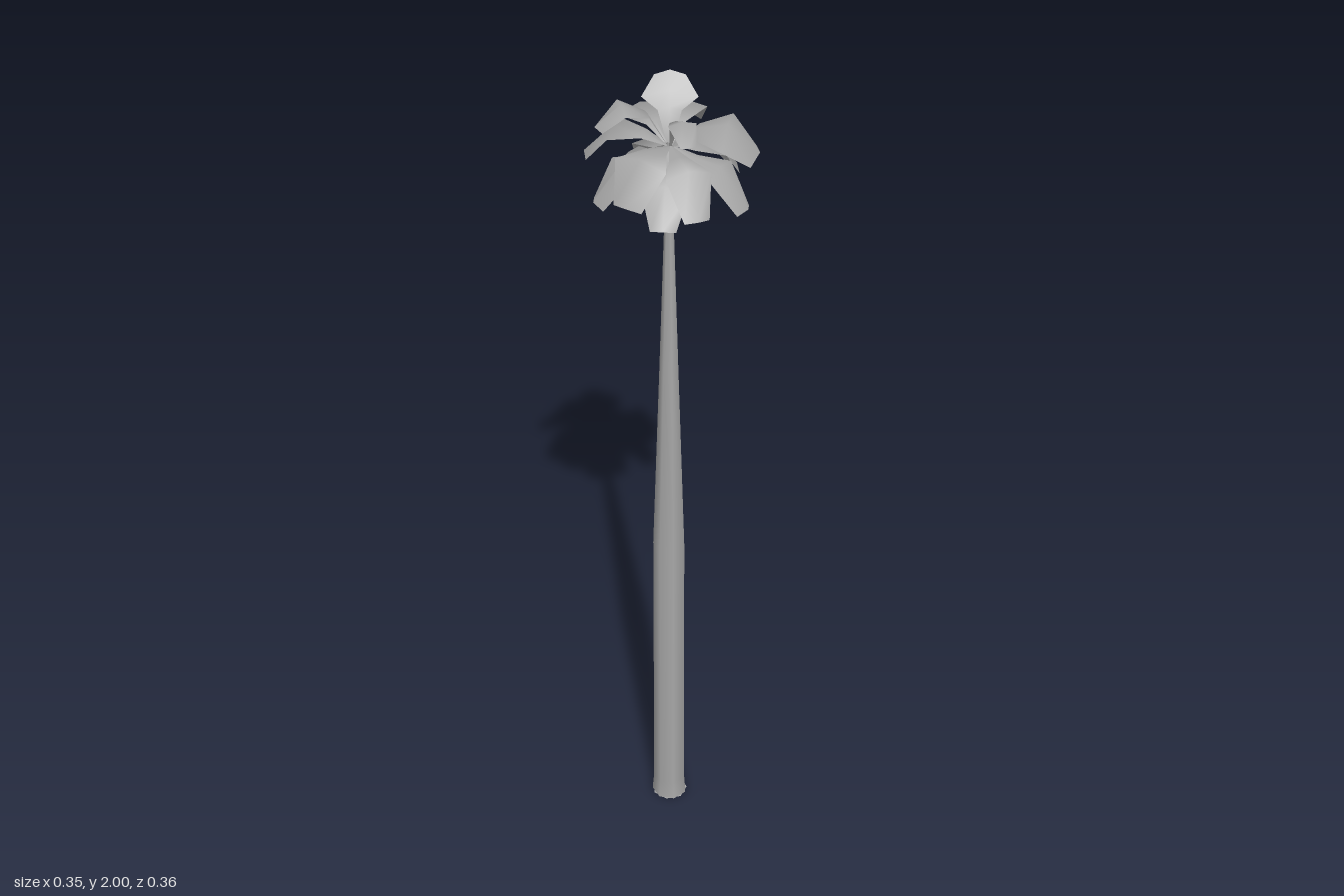
import * as THREE from 'three';

const leafGrey = new THREE.MeshStandardMaterial({ color: 0xa6a6a6, side: THREE.DoubleSide });
leafGrey.name = 'grey';

// [heading in degrees from +z towards +x, reach, height at the bend, height at the tip, half width]
const FRONDS = {
  upperFrond: [
    [-90, 0.16, 1.975, 1.93, 0.04],
    [0, 0.16, 1.975, 1.945, 0.03],
    [165, 0.08, 1.965, 1.998, 0.06],
    [66, 0.19, 1.925, 1.865, 0.085],
  ],
  middleFrond: [
    [197, 0.188, 1.91, 1.84, 0.055],
    [153, 0.19, 1.91, 1.84, 0.055],
    [238, 0.19, 1.895, 1.82, 0.05],
    [-47, 0.175, 1.885, 1.80, 0.062],
    [5, 0.18, 1.865, 1.78, 0.05],
  ],
  lowerFrond: [
    [-85, 0.17, 1.84, 1.76, 0.055],
    [48, 0.185, 1.845, 1.76, 0.05],
    [105, 0.165, 1.85, 1.775, 0.055],
    [130, 0.185, 1.845, 1.765, 0.05],
    [180, 0.17, 1.83, 1.75, 0.055],
    [-20, 0.16, 1.825, 1.75, 0.05],
    [-130, 0.15, 1.825, 1.75, 0.05],
  ],
};
const BASE_Y = 1.865;

// A broad leaf: narrow at the crown, folded along its rib, bent over at the end
function frondGeometry([deg, reach, bendY, tipY, halfWidth]) {
  const a = THREE.MathUtils.degToRad(deg);
  const sin = Math.sin(a), cos = Math.cos(a);
  // [fraction of reach, height, fraction of width, pull-back of the edges]
  const rows = [
    [0.03, BASE_Y, 0.08, 0],
    [0.3, BASE_Y + (bendY - BASE_Y) * 0.75, 0.42, 0],
    [0.64, bendY, 1, 0],
    [1, tipY, 0.55, 0.07],
  ];
  const pos = [], index = [];
  rows.forEach(([t, y, w, back], r) => {
    for (let c = -1; c <= 1; c++) {
      const out = reach * (t - Math.abs(c) * back);
      const side = c * w * halfWidth;
      pos.push(sin * out + cos * side, y - Math.abs(side) * 0.25, cos * out - sin * side + 0.005);
    }
    if (r === 0) return;
    for (let c = 0; c < 2; c++) {
      const i = (r - 1) * 3 + c;
      index.push(i, i + 3, i + 1, i + 1, i + 3, i + 4);
    }
  });
  const g = new THREE.BufferGeometry();
  g.setAttribute('position', new THREE.Float32BufferAttribute(pos, 3));
  g.setIndex(index);
  g.computeVertexNormals();
  return g;
}

export function createModel() {
  const model = new THREE.Group();
  model.name = 'palmTree';

  // Tall tapering trunk with a slightly flared foot
  const profile = [[0.043, 0], [0.039, 0.05], [0.038, 0.8], [0.022, 1.3], [0.008, 1.76], [0.005, 1.87]];
  const trunk = new THREE.Mesh(
    new THREE.LatheGeometry(profile.map(([r, y]) => new THREE.Vector2(r, y)), 7), leafGrey);
  trunk.name = 'trunk';
  model.add(trunk);

  // Underside of the trunk
  const foot = new THREE.Mesh(new THREE.CircleGeometry(0.043, 7, Math.PI / 2), leafGrey);
  foot.name = 'trunkBase';
  foot.rotation.x = Math.PI / 2;
  foot.rotation.z = Math.PI;
  model.add(foot);

  // Crown of fronds in three tiers
  const crown = new THREE.Group();
  crown.name = 'crown';
  for (const [name, list] of Object.entries(FRONDS)) {
    for (const spec of list) {
      const frond = new THREE.Mesh(frondGeometry(spec), leafGrey);
      frond.name = name;
      crown.add(frond);
    }
  }
  model.add(crown);
  return model;
}
